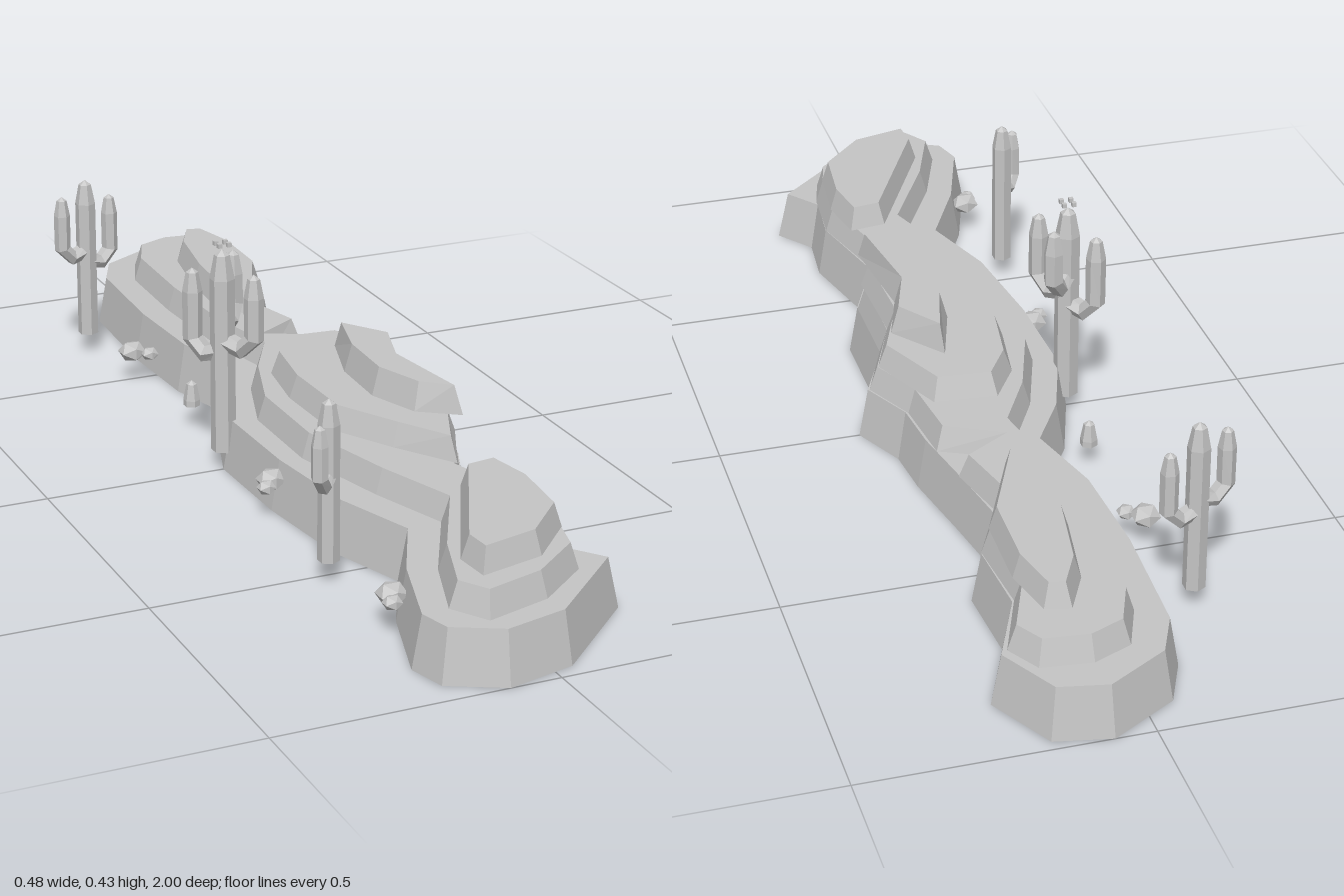
import * as THREE from 'three';

// The terraces are hollow from below, so both sides show
const stone = new THREE.MeshStandardMaterial({ color: 0xc4c4c4, flatShading: true, side: THREE.DoubleSide });
stone.name = 'plainGrey';

function add(parent, geometry, name, pos = [0, 0, 0]) {
  const m = new THREE.Mesh(geometry, stone);
  m.name = name;
  m.position.set(...pos);
  parent.add(m);
  return m;
}

// Moves an [x, z] outline inward by d, mitred at the corners
function inset(pts, d) {
  const n = pts.length;
  const normal = (a, b) => new THREE.Vector2(a[1] - b[1], b[0] - a[0]).normalize();
  return pts.map((p, i) => {
    const n1 = normal(pts[(i + n - 1) % n], p), n2 = normal(p, pts[(i + 1) % n]);
    const k = d / Math.max(0.6, 1 + n1.dot(n2));
    return [p[0] + (n1.x + n2.x) * k, p[1] + (n1.y + n2.y) * k];
  });
}

// Terrace with sloping sides and a flat top, open underneath
function terrace(pts, y0, y1, slope) {
  const top = inset(pts, slope), v = [];
  const put = (p, y) => v.push(p[0], y, p[1]);
  pts.forEach((a, i) => {
    const j = (i + 1) % pts.length;
    put(pts[j], y0); put(a, y0); put(top[i], y1);
    put(pts[j], y0); put(top[i], y1); put(top[j], y1);
  });
  for (const t of THREE.ShapeUtils.triangulateShape(top.map(p => new THREE.Vector2(...p)), [])) {
    const [a, b, c] = t.map(i => top[i]);
    const ny = (b[1] - a[1]) * (c[0] - a[0]) - (b[0] - a[0]) * (c[1] - a[1]);
    (ny > 0 ? [a, b, c] : [a, c, b]).forEach(p => put(p, y1));
  }
  const g = new THREE.BufferGeometry();
  g.setAttribute('position', new THREE.Float32BufferAttribute(v, 3));
  g.computeVertexNormals();
  return g;
}

// Faceted column with a blunt tip
function column(r, h) {
  const profile = [[0, 0], [r, 0], [r, h - r * 2.4], [r * 0.62, h - r * 0.45], [0, h]];
  return new THREE.LatheGeometry(profile.map(p => new THREE.Vector2(...p)), 6);
}

// Six-sided sweep along a path of [x, y, radius] in the xy plane
function sweep(path) {
  const sides = 6, v = [], index = [];
  path.forEach(([x, y, r], i) => {
    const a = path[Math.max(0, i - 1)], b = path[Math.min(path.length - 1, i + 1)];
    const t = new THREE.Vector2(b[0] - a[0], b[1] - a[1]).normalize();
    for (let j = 0; j < sides; j++) {
      const w = j / sides * Math.PI * 2, s = r * Math.sin(w);
      v.push(x - t.y * s, y + t.x * s, r * Math.cos(w));
      if (i === path.length - 1) continue;
      const p = i * sides + j, q = i * sides + (j + 1) % sides;
      index.push(p, p + sides, q + sides, p, q + sides, q);
    }
  });
  const g = new THREE.BufferGeometry();
  g.setAttribute('position', new THREE.Float32BufferAttribute(v, 3));
  g.setIndex(index);
  g.computeVertexNormals();
  return g;
}

// Cactus: trunk plus bent arms given as [x, z, low, top]
function cactus(name, x, z, y, top, r, arms) {
  const g = new THREE.Group();
  g.name = name;
  add(g, column(r, top - y), 'trunk', [x, y, z]);
  for (const [ax, az, low, high] of arms) {
    const reach = Math.hypot(ax - x, az - z), q = r * 0.8;
    const arm = sweep([
      [0, low + q * 1.6, q], [reach * 0.6, low + q, q], [reach, low + q * 2.4, q],
      [reach, high - q * 2.4, q], [reach, high - q * 0.45, q * 0.62], [reach, high, 0]]);
    add(g, arm, 'arm', [x, 0, z]).rotation.y = Math.atan2(z - az, ax - x);
  }
  return g;
}

export function createModel() {
  const model = new THREE.Group();
  model.name = 'desertMesa';

  // Stepped rock, outlines as [x, z]
  const base = [
    [0.07, -1], [0.17, -0.98], [0.235, -0.86], [0.175, -0.72], [0.185, -0.57], [0.13, -0.46],
    [0.15, -0.35], [0.18, -0.2], [0.19, -0.1], [0.238, 0], [0.18, 0.13], [0.18, 0.31],
    [0.12, 0.45], [0.165, 0.63], [0.155, 0.74], [0.208, 0.81], [0.035, 0.97], [-0.09, 1],
    [-0.185, 0.95], [-0.204, 0.88], [-0.15, 0.71], [-0.08, 0.57], [-0.13, 0.42], [-0.155, 0.21],
    [-0.16, 0], [-0.11, -0.15], [-0.05, -0.25], [-0.09, -0.4], [-0.1, -0.6], [-0.09, -0.84], [-0.05, -0.93]];
  const ledge = [
    [0.08, -0.92], [0.17, -0.91], [0.205, -0.85], [0.155, -0.72], [0.168, -0.57], [0.11, -0.45],
    [0.14, -0.33], [0.06, -0.285], [0.155, -0.24], [0.17, -0.1], [0.217, 0], [0.165, 0.13], [0.165, 0.3],
    [0.1, 0.45], [0.148, 0.63], [0.138, 0.76], [0.12, 0.83], [0.02, 0.91], [-0.1, 0.945],
    [-0.14, 0.88], [-0.09, 0.74], [0, 0.57], [-0.05, 0.42], [-0.1, 0.22], [-0.1, 0.02],
    [-0.05, -0.13], [0.01, -0.24], [-0.02, -0.4], [-0.03, -0.6], [-0.025, -0.8], [0.01, -0.89]];
  const backStep = [
    [0.09, -0.83], [0.135, -0.82], [0.158, -0.72], [0.155, -0.57], [0.07, -0.38],
    [0.015, -0.45], [0.025, -0.6], [0.05, -0.75]];
  const middleStep = [
    [0.02, -0.16], [0.135, -0.15], [0.2, 0], [0.15, 0.13], [0.155, 0.31], [0.09, 0.45],
    [0.02, 0.34], [-0.045, 0.22], [-0.05, 0.05], [-0.03, -0.08]];
  const frontStep = [
    [0.05, 0.54], [0.12, 0.53], [0.138, 0.63], [0.125, 0.76], [0.04, 0.85],
    [-0.08, 0.88], [-0.085, 0.81], [-0.02, 0.68]];
  const summit = [
    [0.09, -0.06], [0.165, 0.04], [0.13, 0.15], [0.15, 0.35], [0.08, 0.3], [0.045, 0.2], [0.05, 0.07]];
  add(model, terrace(base, 0, 0.094, 0.016), 'mesaBase');
  add(model, terrace(ledge, 0.094, 0.14, 0.014), 'mesaLedge');
  add(model, terrace(backStep, 0.14, 0.183, 0.013), 'backStep');
  add(model, terrace(middleStep, 0.14, 0.183, 0.015), 'middleStep');
  add(model, terrace(frontStep, 0.14, 0.183, 0.013), 'frontStep');
  add(model, terrace(summit, 0.183, 0.235, 0.014), 'summit');

  // Cacti
  model.add(cactus('frontCactus', -0.187, 0.525, 0.04, 0.33, 0.019, [[-0.219, 0.56, 0.17, 0.3]]));
  model.add(cactus('backCactus', -0.17, -0.685, 0.04, 0.36, 0.02,
    [[-0.224, -0.672, 0.19, 0.335], [-0.115, -0.7, 0.168, 0.32]]));
  const middle = cactus('middleCactus', -0.155, -0.01, 0.035, 0.42, 0.023,
    [[-0.195, -0.055, 0.2, 0.377], [-0.115, -0.055, 0.255, 0.4], [-0.118, 0.048, 0.22, 0.385]]);
  model.add(middle);

  // Blossoms above the tallest cactus
  for (const dx of [-0.009, 0.009])
    for (const dz of [-0.009, 0.009])
      add(middle, new THREE.BoxGeometry(0.008, 0.008, 0.008), 'blossom', [-0.154 + dx, 0.43, -0.01 + dz]);

  // Low rocks along the foot of the cliff, each with a smaller lobe
  for (const [x, z, dx, dz] of [[-0.15, -0.49, 0.028, 0.022], [-0.158, 0.215, -0.02, 0.026], [-0.168, 0.73, -0.012, 0.028]]) {
    const g = new THREE.Group();
    g.name = 'rocks';
    add(g, new THREE.IcosahedronGeometry(0.028), 'rock', [x, 0.062, z]).scale.y = 0.75;
    add(g, new THREE.IcosahedronGeometry(0.018), 'smallRock', [x + dx, 0.06, z + dz]).scale.y = 0.75;
    model.add(g);
  }

  // Small barrel plant
  add(model, column(0.016, 0.05), 'barrelPlant', [-0.135, 0.045, -0.215]);
  return model;
}
